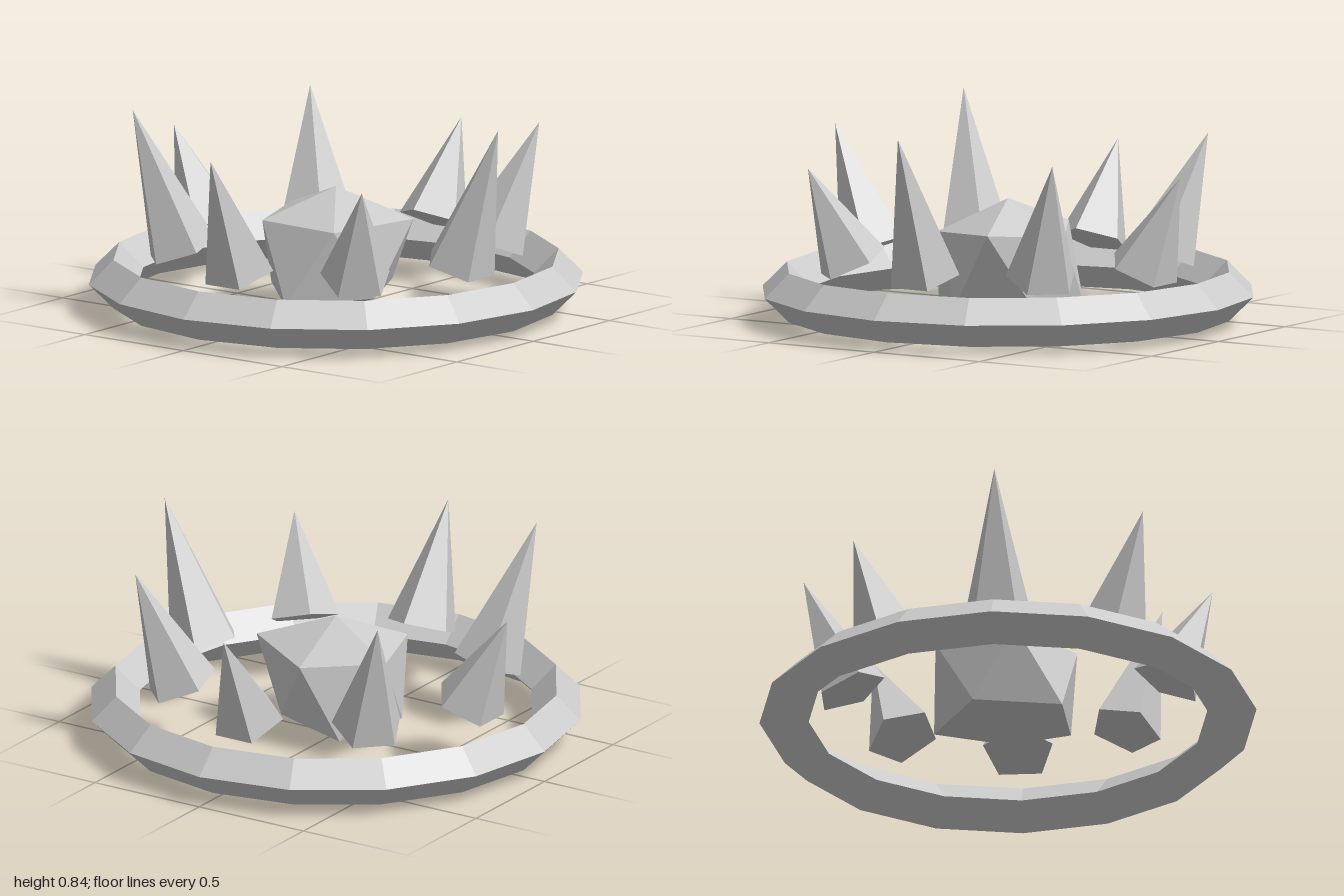
import * as THREE from 'three';

const material = new THREE.MeshStandardMaterial({ color: 0xcccccc, flatShading: true });

function addMesh(parent, name, geometry) {
  const mesh = new THREE.Mesh(geometry, material);
  mesh.name = name;
  parent.add(mesh);
  return mesh;
}

// Uneven icosahedral rock: two poles and two staggered rings of five corners
function rockGeometry() {
  const upper = [0.266, 0.33, 0.285, 0.308, 0.316];
  const lower = [0.235, 0.275, 0.33, 0.275, 0.304];
  const centreY = 0.23;
  const points = [0, 0.505, 0, 0, 0, 0];
  const addRing = (radii, turn, side) => radii.forEach((r, k) => {
    const a = (k + turn) * Math.PI * 2 / 5;
    points.push(r * Math.cos(a), centreY + side * r / 2, r * Math.sin(a));
  });
  addRing(upper, 0, 1);
  addRing(lower, 0.5, -1);

  const faces = [];
  for (let k = 0; k < 5; k++) {
    const n = (k + 1) % 5;
    const u = 2 + k, un = 2 + n, l = 7 + k, ln = 7 + n;
    faces.push(0, un, u, u, un, l, l, un, ln, 1, l, ln);
  }
  const geometry = new THREE.BufferGeometry();
  geometry.setAttribute('position', new THREE.Float32BufferAttribute(points, 3));
  geometry.setIndex(faces);
  const flat = geometry.toNonIndexed();
  flat.computeVertexNormals();
  return flat;
}

export function createModel() {
  const model = new THREE.Group();
  model.name = 'spikedRing';

  // Faceted ring with a diamond cross-section
  const ring = addMesh(model, 'ring', new THREE.TorusGeometry(0.9, 0.099, 4, 16));
  ring.rotation.x = Math.PI / 2;
  ring.position.y = 0.127;

  // Central rock
  addMesh(model, 'core', rockGeometry());

  // Eight spikes leaning outwards, their heights cycling through three sizes
  const spikes = new THREE.Group();
  spikes.name = 'spikes';
  model.add(spikes);
  const sizes = [
    { base: 0.64, tipY: 0.65 },
    { base: 0.633, tipY: 0.745 },
    { base: 0.625, tipY: 0.84 },
  ];
  const baseY = 0.26, tipRadius = 0.822;
  for (let i = 0; i < 8; i++) {
    const { base, tipY } = sizes[i % 3];
    const out = tipRadius - base, up = tipY - baseY;
    const height = Math.hypot(out, up);
    const cone = new THREE.ConeGeometry(0.147, height, 5, 1, false, -Math.PI / 2);
    cone.translate(0, height / 2, 0);

    const arm = new THREE.Group();
    arm.name = 'spikeArm';
    arm.rotation.y = -i * Math.PI / 4;
    const spike = addMesh(arm, 'spike', cone);
    spike.position.set(base, baseY, 0);
    spike.rotation.z = -Math.atan2(out, up);
    spikes.add(arm);
  }
  return model;
}
